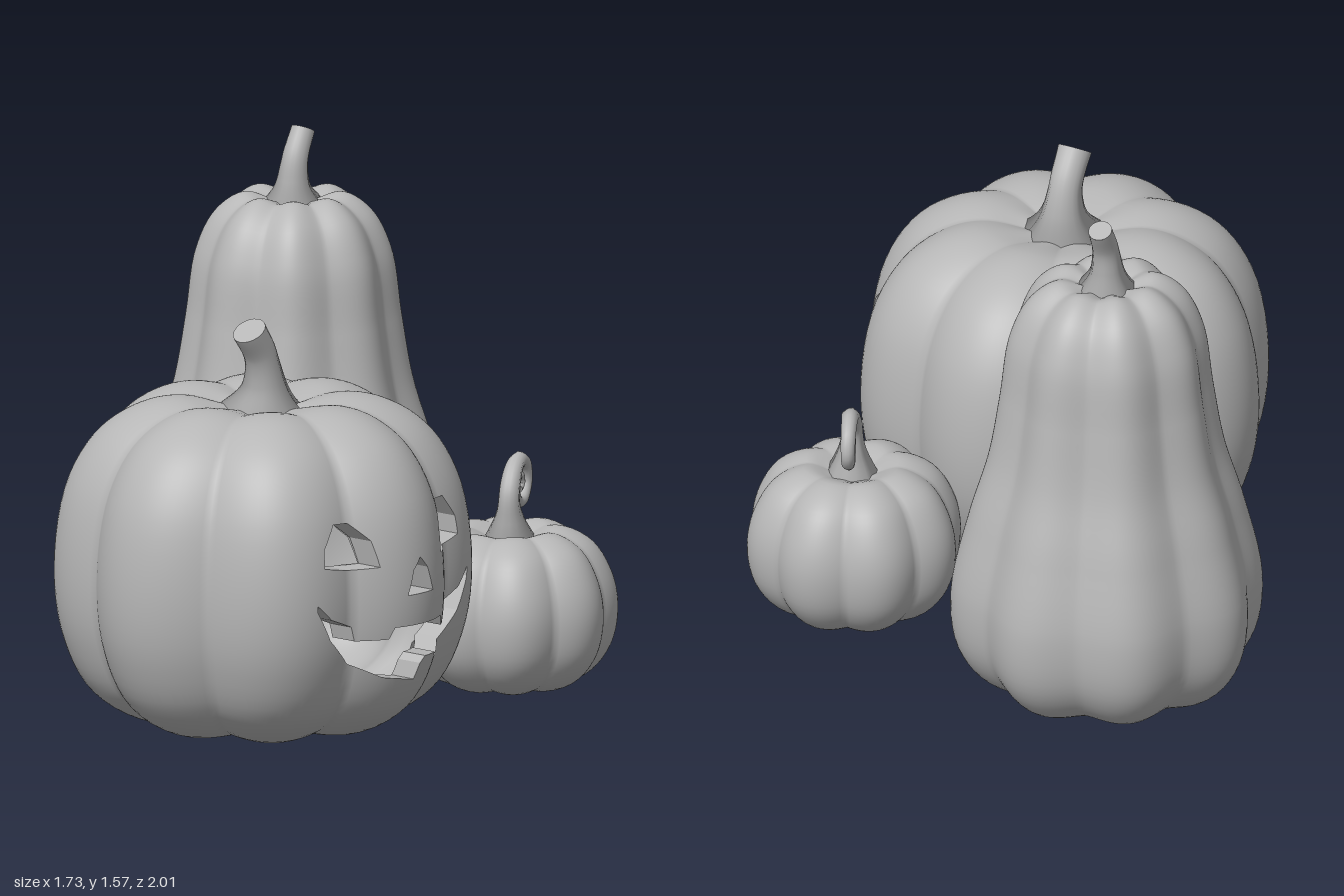
import * as THREE from 'three';

const grey = new THREE.MeshStandardMaterial({ color: 0xb6b6b6, side: THREE.DoubleSide });
grey.name = 'grey';
const V = (x, y, z) => new THREE.Vector3(x, y, z);

// Collects convex polygons of {p, n} corners into one geometry
function meshFrom(polys, name) {
  const pos = [], nor = [];
  for (const poly of polys)
    for (let k = 1; k + 1 < poly.length; k++)
      for (const v of [poly[0], poly[k], poly[k + 1]]) {
        pos.push(v.p.x, v.p.y, v.p.z);
        nor.push(v.n.x, v.n.y, v.n.z);
      }
  const g = new THREE.BufferGeometry();
  g.setAttribute('position', new THREE.Float32BufferAttribute(pos, 3));
  g.setAttribute('normal', new THREE.Float32BufferAttribute(nor, 3));
  const mesh = new THREE.Mesh(g, grey);
  mesh.name = name;
  return mesh;
}

// Grid of quads over a lobed body of revolution
function lobedCells({ profile, centre, turn, depth, soft, pinch, cols = 160, rows = 56 }) {
  const curve = new THREE.CatmullRomCurve3(profile.map(([r, y]) => V(r, y, 0)));
  const mid = profile[0][1] / 2;
  const at = (a, t) => {
    const q = curve.getPoint(Math.min(1, Math.max(0, t)));
    const dip = 1 - Math.abs(Math.cos(4 * (a - turn))) ** soft;
    const r = Math.max(0, q.x) * (1 - depth * dip);
    return V(centre[0] + r * Math.cos(a), mid + (q.y - mid) * (1 - pinch * dip), centre[1] + r * Math.sin(a));
  };
  const vertex = (i, j) => {
    const a = turn + i / cols * Math.PI * 2, t = j / rows, e = 0.004;
    const tn = Math.min(0.99, Math.max(0.01, t));
    const da = at(a + e, tn).sub(at(a - e, tn)), dt = at(a, tn + e).sub(at(a, tn - e));
    return { p: at(a, t), n: da.cross(dt).normalize() };
  };
  const grid = [];
  for (let i = 0; i <= cols; i++) {
    grid.push([]);
    for (let j = 0; j <= rows; j++) grid[i].push(vertex(i % cols, j));
  }
  const cells = [];
  for (let i = 0; i < cols; i++)
    for (let j = 0; j < rows; j++)
      cells.push([grid[i][j], grid[i + 1][j], grid[i + 1][j + 1], grid[i][j + 1]]);
  return cells;
}

// Part of a polygon on the positive side of a line function
function clip(poly, side) {
  const out = [];
  poly.forEach((v, k) => {
    const w = poly[(k + 1) % poly.length], a = side(v.p), b = side(w.p);
    if (a >= 0) out.push(v);
    if (a * b < 0) {
      const f = a / (a - b);
      out.push({ p: v.p.clone().lerp(w.p, f), n: v.n.clone().lerp(w.n, f).normalize() });
    }
  });
  return out.length > 2 ? out : [];
}

// Subtracts a convex (z, y) hole: the outside pieces and the removed piece
function subtract(poly, hole) {
  const cz = hole.reduce((s, h) => s + h[0], 0) / hole.length;
  const cy = hole.reduce((s, h) => s + h[1], 0) / hole.length;
  const outside = [];
  let rest = poly;
  for (let k = 0; k < hole.length && rest.length; k++) {
    const [az, ay] = hole[k], [bz, by] = hole[(k + 1) % hole.length];
    const f = (z, y) => (bz - az) * (y - ay) - (by - ay) * (z - az);
    const s = Math.sign(f(cz, cy));
    const piece = clip(rest, p => -s * f(p.z, p.y));
    if (piece.length) outside.push(piece);
    rest = clip(rest, p => s * f(p.z, p.y));
  }
  return rest.length ? { outside, rest } : { outside: [poly], rest };
}

// Face openings in (z, y)
const eye = [[0.7, 0.6], [0.695, 0.655], [0.645, 0.725], [0.585, 0.72], [0.54, 0.665], [0.525, 0.585], [0.6, 0.58]];
const eyes = [eye, eye.map(([z, y]) => [0.78 - z, y])];
const nose = [[0.39, 0.6], [0.42, 0.565], [0.445, 0.49], [0.335, 0.49], [0.36, 0.565]];
// Mouth columns: z, upper lip, lower lip, with the teeth as steps
const mouth = [
  [0.73, 0.49, 0.47], [0.68, 0.44, 0.375], [0.595, 0.405, 0.29], [0.585, 0.36, 0.285], [0.5, 0.36, 0.24],
  [0.485, 0.395, 0.235], [0.375, 0.395, 0.215], [0.365, 0.395, 0.265], [0.345, 0.395, 0.285], [0.27, 0.395, 0.28],
  [0.25, 0.36, 0.245], [0.18, 0.36, 0.285], [0.165, 0.41, 0.295], [0.085, 0.44, 0.365], [0.03, 0.49, 0.46],
];
const mouthPieces = mouth.slice(1).map((b, k) => {
  const a = mouth[k];
  return [[a[0], a[1]], [b[0], b[1]], [b[0], b[2]], [a[0], a[2]]];
});
const holes = [...eyes, nose, ...mouthPieces];
const outlines = [...eyes, nose,
  [...mouth.map(m => [m[0], m[1]]), ...mouth.map(m => [m[0], m[2]]).reverse()]];

function onOutline(p) {
  return outlines.map(o => o.map((a, k) => {
    const b = o[(k + 1) % o.length], dz = b[0] - a[0], dy = b[1] - a[1], l = Math.hypot(dz, dy);
    const t = ((p.z - a[0]) * dz + (p.y - a[1]) * dy) / l;
    const d = Math.abs((p.z - a[0]) * dy - (p.y - a[1]) * dz) / l;
    return d < 1e-5 && t > -1e-5 && t < l + 1e-5;
  })).flat();
}

// Cuts the face out of a shell; returns the shell and the cut edges
function carve(cells) {
  const shell = [], edges = [];
  for (const cell of cells) {
    if (cell[0].p.x < 0.5) { shell.push(cell); continue; }
    let pieces = [cell];
    for (const hole of holes)
      pieces = pieces.flatMap(poly => {
        const { outside, rest } = subtract(poly, hole);
        rest.forEach((v, k) => {
          const w = rest[(k + 1) % rest.length], a = onOutline(v.p), b = onOutline(w.p);
          if (a.some((hit, i) => hit && b[i])) edges.push([v.p, w.p]);
        });
        return outside;
      });
    shell.push(...pieces);
  }
  return { shell, edges };
}

// Tapered stem along a path, closed with a flat end
function stem(name, points, radii, sides = 20, ribs = 0) {
  const group = new THREE.Group(), seg = 48;
  group.name = name;
  const path = new THREE.CatmullRomCurve3(points.map(p => V(...p)));
  const taper = new THREE.CatmullRomCurve3(radii.map((r, i) => V(i, r, 0)));
  const g = new THREE.TubeGeometry(path, seg, 1, sides);
  const pos = g.attributes.position, nor = g.attributes.normal;
  for (let i = 0; i < pos.count; i++) {
    const u = Math.floor(i / (sides + 1)) / seg, a = (i % (sides + 1)) / sides * Math.PI * 2;
    const r = taper.getPoint(u).y * (1 + ribs * (1 - u) * Math.cos(a * 5));
    const p = path.getPointAt(u).addScaledVector(V(0, 0, 0).fromBufferAttribute(nor, i), r);
    pos.setXYZ(i, p.x, p.y, p.z);
  }
  const cap = new THREE.Mesh(new THREE.CircleGeometry(radii[radii.length - 1], sides), grey);
  cap.position.copy(path.getPointAt(1));
  cap.quaternion.setFromUnitVectors(V(0, 0, 1), path.getTangentAt(1));
  const body = new THREE.Mesh(g, grey);
  body.name = name + 'Body';
  cap.name = name + 'End';
  group.add(body, cap);
  return group;
}

export function createModel() {
  const model = new THREE.Group();
  model.name = 'pumpkins';

  // Carved pumpkin: outer shell, inner shell and the cut walls
  const cells = lobedCells({
    profile: [[0, 0.95], [0.1, 0.975], [0.26, 1.005], [0.38, 0.98], [0.5, 0.9], [0.59, 0.75], [0.63, 0.5],
      [0.605, 0.28], [0.52, 0.11], [0.36, 0.015], [0.16, 0.015], [0, 0.06]],
    centre: [0.225, 0.38], turn: 0, depth: 0.1, soft: 1, pinch: 0.03,
  });
  const outer = carve(cells);
  const inner = carve(cells.map(c => c.map(v => ({
    p: v.p.clone().addScaledVector(v.n, -0.07), n: v.n.clone().negate(),
  }))));
  const walls = outer.edges.map(([p, q]) => {
    const back = V(-0.085, 0, 0), n = q.clone().sub(p).cross(back).normalize();
    return [p, q, q.clone().add(back), p.clone().add(back)].map(c => ({ p: c, n }));
  });
  model.add(
    meshFrom(outer.shell, 'carvedPumpkin'),
    meshFrom(inner.shell.map(c => c.slice().reverse()), 'carvedPumpkinInside'),
    meshFrom(walls, 'carvedFaceWalls'),
    stem('carvedPumpkinStem',
      [[0.225, 0.95, 0.375], [0.225, 1.04, 0.37], [0.225, 1.13, 0.39], [0.225, 1.215, 0.445]],
      [0.14, 0.075, 0.053, 0.05, 0.052], 20, 0.12));

  // Tall gourd
  model.add(
    meshFrom(lobedCells({
      profile: [[0, 1.33], [0.07, 1.355], [0.15, 1.375], [0.235, 1.32], [0.295, 1.2], [0.325, 1], [0.36, 0.8],
        [0.42, 0.6], [0.475, 0.34], [0.45, 0.16], [0.36, 0.05], [0.2, 0.005], [0.08, 0.02], [0, 0.06]],
      centre: [-0.405, -0.525], turn: 0.1, depth: 0.085, soft: 1.5, pinch: 0.02, rows: 70,
    }), 'tallGourd'),
    stem('tallGourdStem',
      [[-0.405, 1.33, -0.525], [-0.405, 1.41, -0.525], [-0.405, 1.48, -0.535], [-0.41, 1.56, -0.575]],
      [0.1, 0.055, 0.042, 0.038, 0.036], 20, 0.12));

  // Small pumpkin with a curled stem
  const curl = [[-0.445, 0.44], [-0.435, 0.52], [-0.435, 0.6], [-0.475, 0.66], [-0.53, 0.678], [-0.582, 0.65],
    [-0.596, 0.595], [-0.565, 0.552], [-0.52, 0.55], [-0.49, 0.585], [-0.505, 0.625], [-0.54, 0.628], [-0.552, 0.6],
    [-0.53, 0.588]];
  model.add(
    meshFrom(lobedCells({
      profile: [[0, 0.44], [0.07, 0.465], [0.15, 0.49], [0.25, 0.445], [0.31, 0.35], [0.33, 0.24], [0.305, 0.12],
        [0.23, 0.035], [0.11, 0.005], [0, 0.05]],
      centre: [0.5, -0.445], turn: 0, depth: 0.1, soft: 1, pinch: 0.03, cols: 128, rows: 44,
    }), 'smallPumpkin'),
    stem('smallPumpkinStem', curl.map(([z, y]) => [0.51 + (z + 0.44) * 0.45, y, z]),
      [0.085, 0.038, 0.03, 0.024, 0.021, 0.018, 0.015, 0.012], 14, 0.1));
  return model;
}
